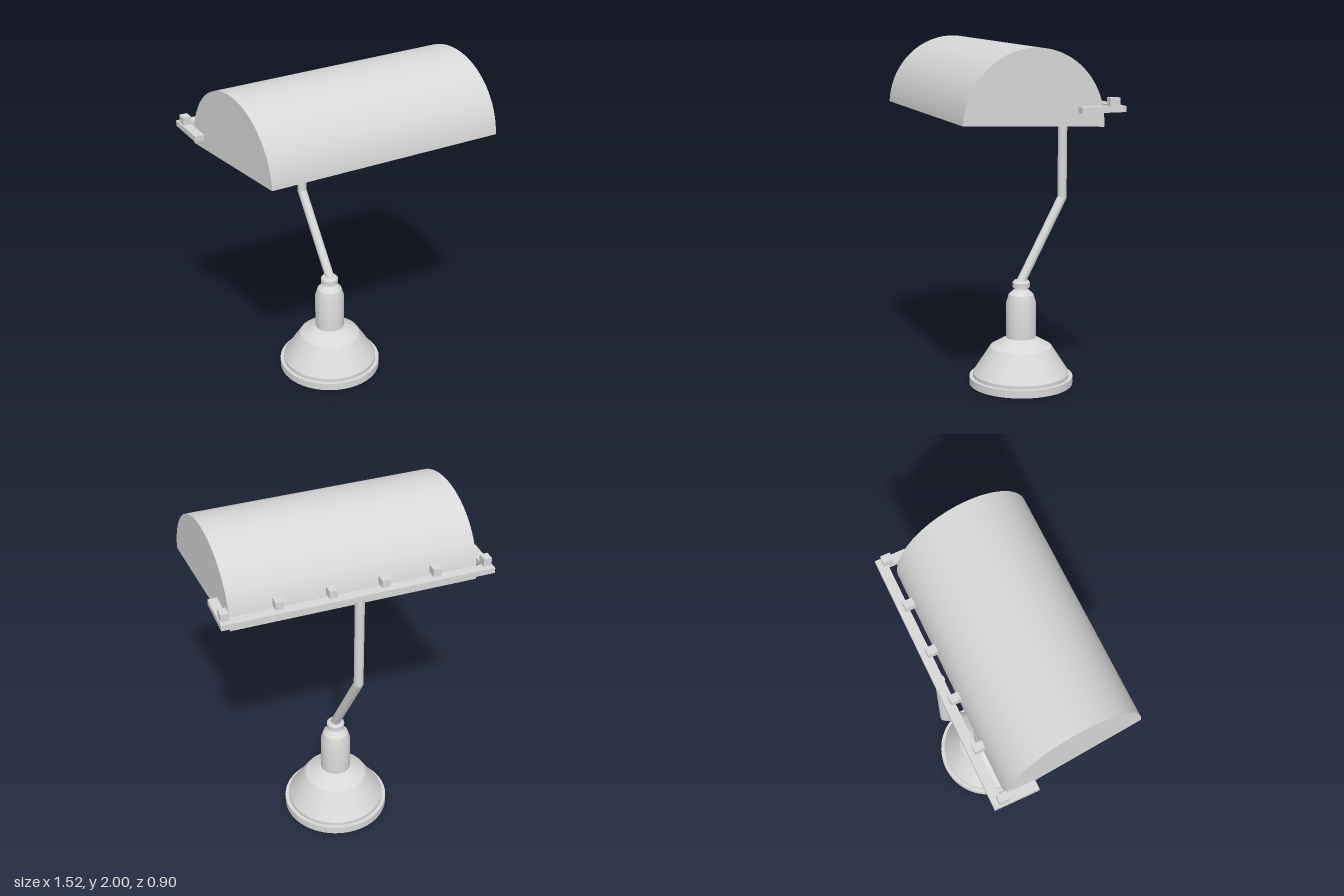
import * as THREE from 'three';
import { toCreasedNormals } from 'three/addons/utils/BufferGeometryUtils.js';

export function createModel() {
  const model = new THREE.Group();
  model.name = 'deskLamp';
  const grey = new THREE.MeshStandardMaterial({ color: 0xd8d8d8 });
  grey.name = 'light grey';

  const add = (parent, name, geometry, x = 0, y = 0, z = 0) => {
    const mesh = new THREE.Mesh(geometry, grey);
    mesh.name = name;
    mesh.position.set(x, y, z);
    parent.add(mesh);
    return mesh;
  };

  // Turned foot: disc, bell, column, shoulder and collar
  const profile = [
    [0, 0], [0.304, 0], [0.304, 0.045], [0.282, 0.045], [0.282, 0.065],
    [0.18, 0.223], [0.087, 0.278], [0.087, 0.487], [0.072, 0.535], [0.04, 0.565],
    [0.037, 0.578], [0.051, 0.578], [0.051, 0.606], [0.04, 0.618], [0, 0.618],
  ].map(([r, y]) => new THREE.Vector2(r, y));
  add(model, 'foot', toCreasedNormals(new THREE.LatheGeometry(profile, 64), 0.4), 0.033, 0, -0.143);

  // Bent stem: two rods with a rounded elbow
  const stem = new THREE.Group();
  stem.name = 'stem';
  model.add(stem);
  const radius = 0.027;
  const points = [
    new THREE.Vector3(0.036, 0.6, -0.136),
    new THREE.Vector3(-0.001, 1.085, -0.41),
    new THREE.Vector3(-0.001, 1.67, -0.41),
  ];
  for (let i = 0; i < 2; i++) {
    const along = points[i + 1].clone().sub(points[i]);
    const rod = add(stem, i ? 'upperRod' : 'lowerRod',
      new THREE.CylinderGeometry(radius, radius, along.length(), 24));
    rod.position.copy(points[i]).addScaledVector(along, 0.5);
    rod.quaternion.setFromUnitVectors(new THREE.Vector3(0, 1, 0), along.normalize());
  }
  add(stem, 'elbow', new THREE.SphereGeometry(radius, 24, 16), ...points[1].toArray());

  // Rail behind the shade, with side arms and small blocks
  const rail = new THREE.Group();
  rail.name = 'rail';
  model.add(rail);
  add(rail, 'backBar', new THREE.BoxGeometry(1.52, 0.032, 0.056), 0, 1.675, -0.42);
  for (const side of [-1, 1]) {
    add(rail, side > 0 ? 'leftArm' : 'rightArm',
      new THREE.BoxGeometry(0.053, 0.032, 0.194), side * 0.7335, 1.675, -0.295);
  }
  for (let i = 0; i < 6; i++) {
    add(rail, 'block' + (i + 1), new THREE.BoxGeometry(0.045, 0.045, 0.056),
      -0.73 + i * 0.292, 1.713, -0.388);
  }

  // Half-round shade, tilted forward and skewed sideways
  const shade = new THREE.Group();
  shade.name = 'shade';
  shade.position.set(0.028, 1.598, 0.047);
  model.add(shade);
  const R = 0.403, length = 1.387;
  const opening = { x: 1.222, z: 0.56, depth: 0.25 };
  const skew = new THREE.Matrix4().set(
    1, 0, 0.08, 0,
    0, 1, 0, 0,
    0, 0, 1, 0,
    0, 0, 0, 1);
  const addSkewed = (name, geometry) => {
    geometry.rotateX(-0.05).applyMatrix4(skew);
    add(shade, name, toCreasedNormals(geometry, 0.5));
  };

  // Curved cover and its two flat ends
  addSkewed('cover', new THREE.CylinderGeometry(R, R, length, 64, 1, true, 0, Math.PI)
    .rotateZ(Math.PI / 2).rotateX(0));
  for (const side of [-1, 1]) {
    addSkewed(side > 0 ? 'leftEnd' : 'rightEnd', new THREE.CircleGeometry(R, 64, 0, Math.PI)
      .rotateY(side * Math.PI / 2).translate(side * length / 2, 0, 0));
  }

  // Flat frame around the opening underneath
  const rectangle = (path, w, h) => path.moveTo(-w / 2, -h / 2).lineTo(w / 2, -h / 2)
    .lineTo(w / 2, h / 2).lineTo(-w / 2, h / 2).closePath();
  const frame = new THREE.Shape();
  rectangle(frame, length, 2 * R);
  const hole = new THREE.Path();
  rectangle(hole, opening.x, opening.z);
  frame.holes.push(hole);
  addSkewed('frame', new THREE.ShapeGeometry(frame).rotateX(Math.PI / 2));

  // Inward-facing recess without a floor
  const recess = new THREE.BoxGeometry(opening.x, opening.depth, opening.z);
  recess.setIndex([...recess.index.array].filter((_, i) => i < 12 || i >= 18));
  recess.scale(1, -1, 1).translate(0, opening.depth / 2, 0);
  addSkewed('recess', recess);

  // Light bar inside the recess
  addSkewed('lightBar', new THREE.BoxGeometry(1.2, 0.17, 0.16).translate(0, 0.165, 0));

  return model;
}
